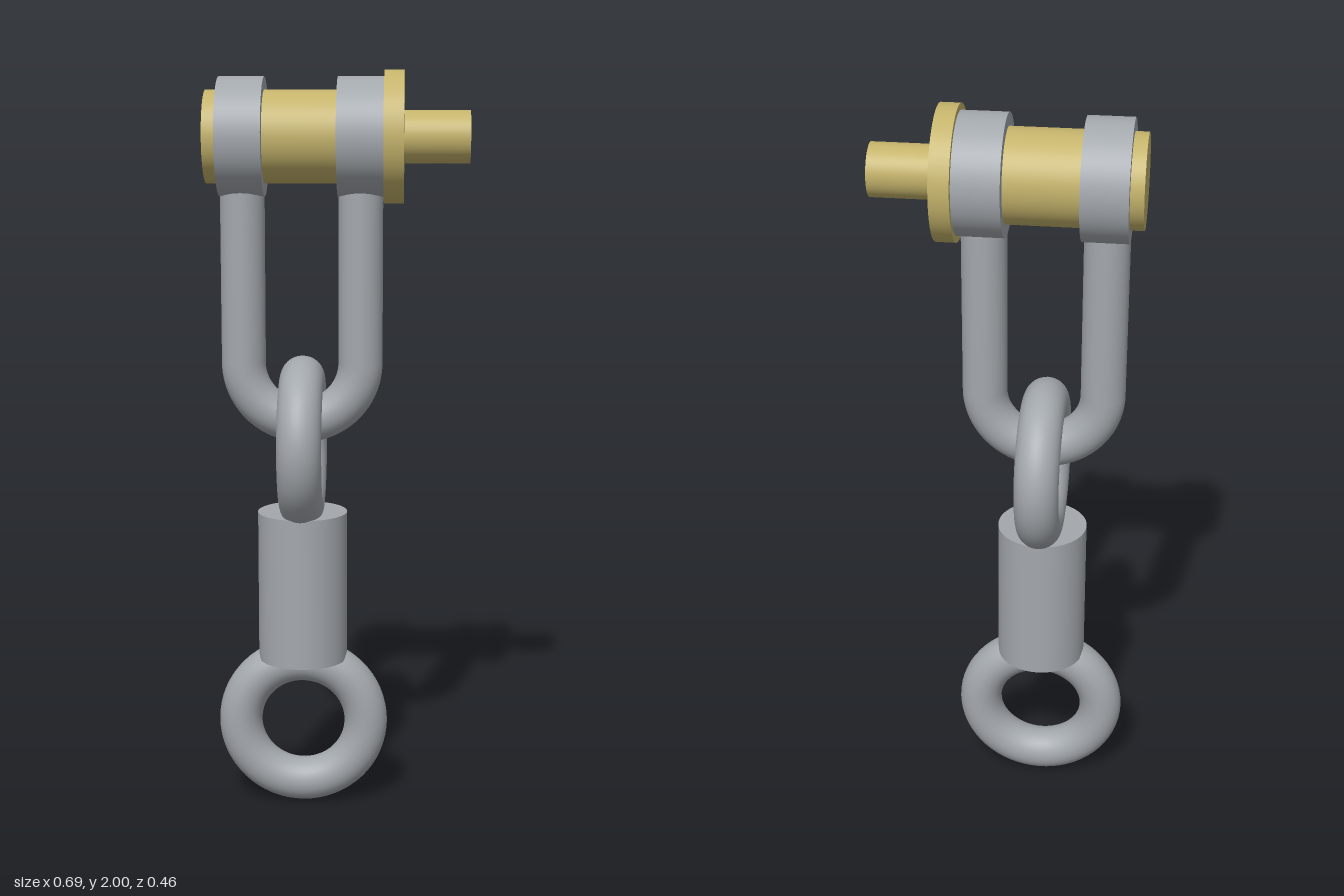
import * as THREE from 'three';

const steel = new THREE.MeshStandardMaterial({ color: 0xa3a8ad });
steel.name = 'steel grey';
const brass = new THREE.MeshStandardMaterial({ color: 0xc4b36b });
brass.name = 'brass';

const CX = -0.096;    // vertical axis of the hanging parts
const PIN_Y = 1.828;  // height of the pin axis
const ROD = 0.059;    // radius of the round bar
const RING = 0.173;   // centreline radius of the rings

export function createModel() {
  const group = new THREE.Group();
  group.name = 'shackleAndSwivel';

  const add = (name, geometry, material, x = 0, y = 0, z = 0) => {
    const mesh = new THREE.Mesh(geometry, material);
    mesh.name = name;
    mesh.position.set(x, y, z);
    group.add(mesh);
    return mesh;
  };

  // cylinder lying along x on the pin axis
  const addAxial = (name, radius, x0, x1, material) => {
    const geometry = new THREE.CylinderGeometry(radius, radius, x1 - x0, 64).rotateZ(-Math.PI / 2);
    return add(name, geometry, material, (x0 + x1) / 2, PIN_Y);
  };

  // pin with flange and stub
  addAxial('pin', 0.121, -0.346, 0.13, brass);
  addAxial('pinFlange', 0.172, 0.121, 0.173, brass);
  addAxial('pinStub', 0.069, 0.165, 0.345, brass);

  // eyes of the shackle around the pin
  addAxial('rightEye', 0.155, -0.311, -0.192, steel);
  addAxial('leftEye', 0.155, 0, 0.121, steel);

  // U-shaped bow: two straight legs joined by a half circle
  const half = 0.156, bendY = 1.232, legTop = 1.74;
  for (const [name, side] of [['rightLeg', -1], ['leftLeg', 1]]) {
    const leg = new THREE.CylinderGeometry(ROD, ROD, legTop - bendY, 32, 1, true);
    add(name, leg, steel, CX + side * half, (legTop + bendY) / 2);
  }
  const bend = new THREE.TorusGeometry(half, ROD, 32, 48, Math.PI).rotateZ(Math.PI);
  add('bowBend', bend, steel, CX, bendY);

  // swivel: upper ring, barrel and lower ring
  const ring = () => new THREE.TorusGeometry(RING, ROD, 32, 64);
  add('upperRing', ring().rotateY(Math.PI / 2), steel, CX, 1.017);
  add('barrel', new THREE.CylinderGeometry(0.121, 0.121, 0.412, 64), steel, CX, 0.619);
  add('lowerRing', ring(), steel, CX, 0.233);

  return group;
}
